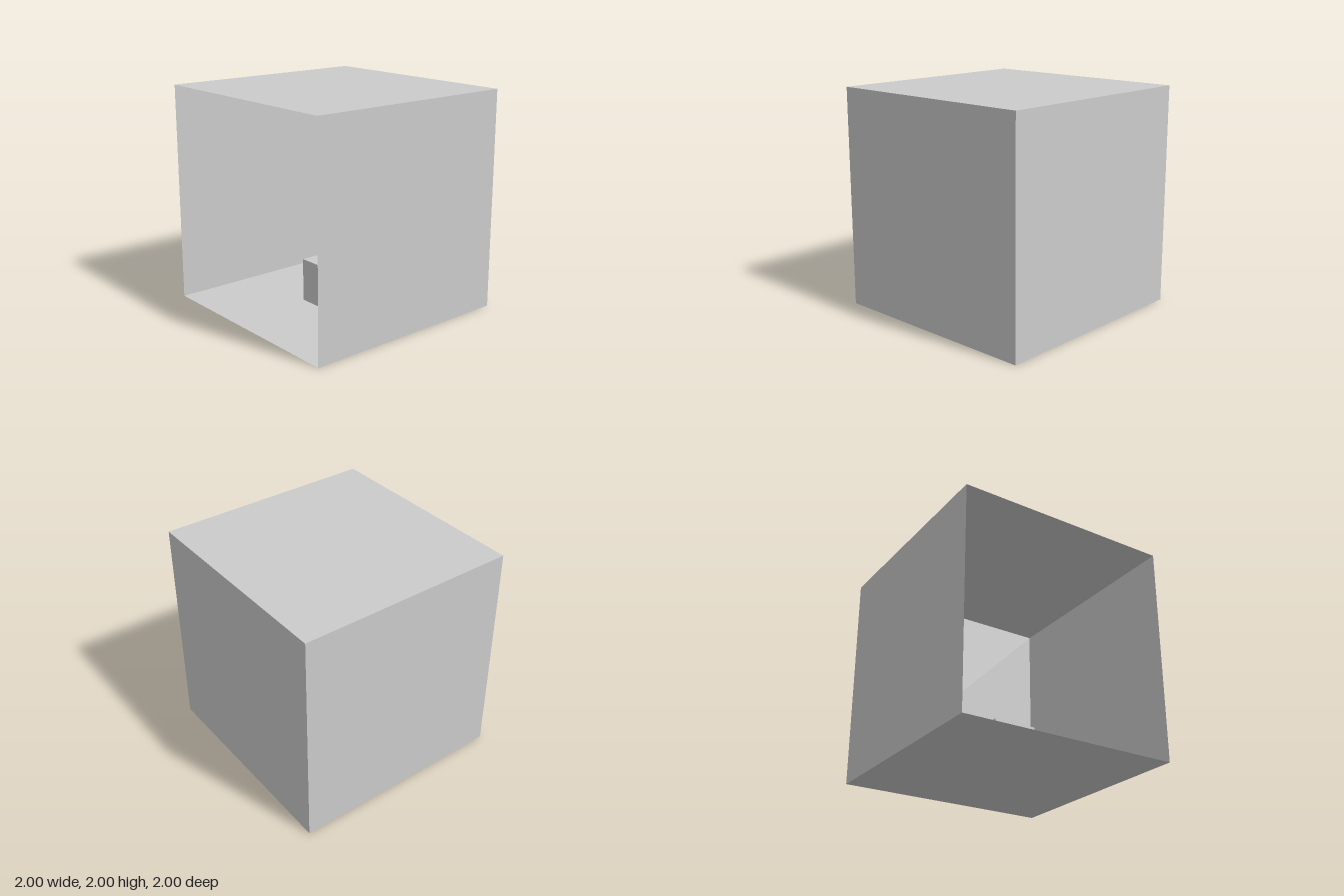
import * as THREE from 'three';

const SIZE = 2;
const CUBE = 0.4;

export function createModel() {
  const model = new THREE.Group();
  const solid = new THREE.MeshStandardMaterial({ color: 0xcccccc });
  const sheet = new THREE.MeshStandardMaterial({ color: 0xcccccc, side: THREE.DoubleSide });

  // Paper-thin room, open at the front: [name, position, rotation]
  const half = SIZE / 2;
  const quarter = Math.PI / 2;
  const panels = [
    ['floor', [0, 0, 0], [-quarter, 0, 0]],
    ['ceiling', [0, SIZE, 0], [-quarter, 0, 0]],
    ['backWall', [0, half, -half], [0, 0, 0]],
    ['leftWall', [half, half, 0], [0, quarter, 0]],
    ['rightWall', [-half, half, 0], [0, quarter, 0]],
  ];
  const room = new THREE.Group();
  room.name = 'room';
  for (const [name, position, rotation] of panels) {
    const panel = new THREE.Mesh(new THREE.PlaneGeometry(SIZE, SIZE), sheet);
    panel.name = name;
    panel.position.set(...position);
    panel.rotation.set(...rotation);
    room.add(panel);
  }
  model.add(room);

  // Small cube standing in the middle of the floor
  const cube = new THREE.Mesh(new THREE.BoxGeometry(CUBE, CUBE, CUBE), solid);
  cube.name = 'cube';
  cube.position.y = CUBE / 2;
  model.add(cube);

  return model;
}
